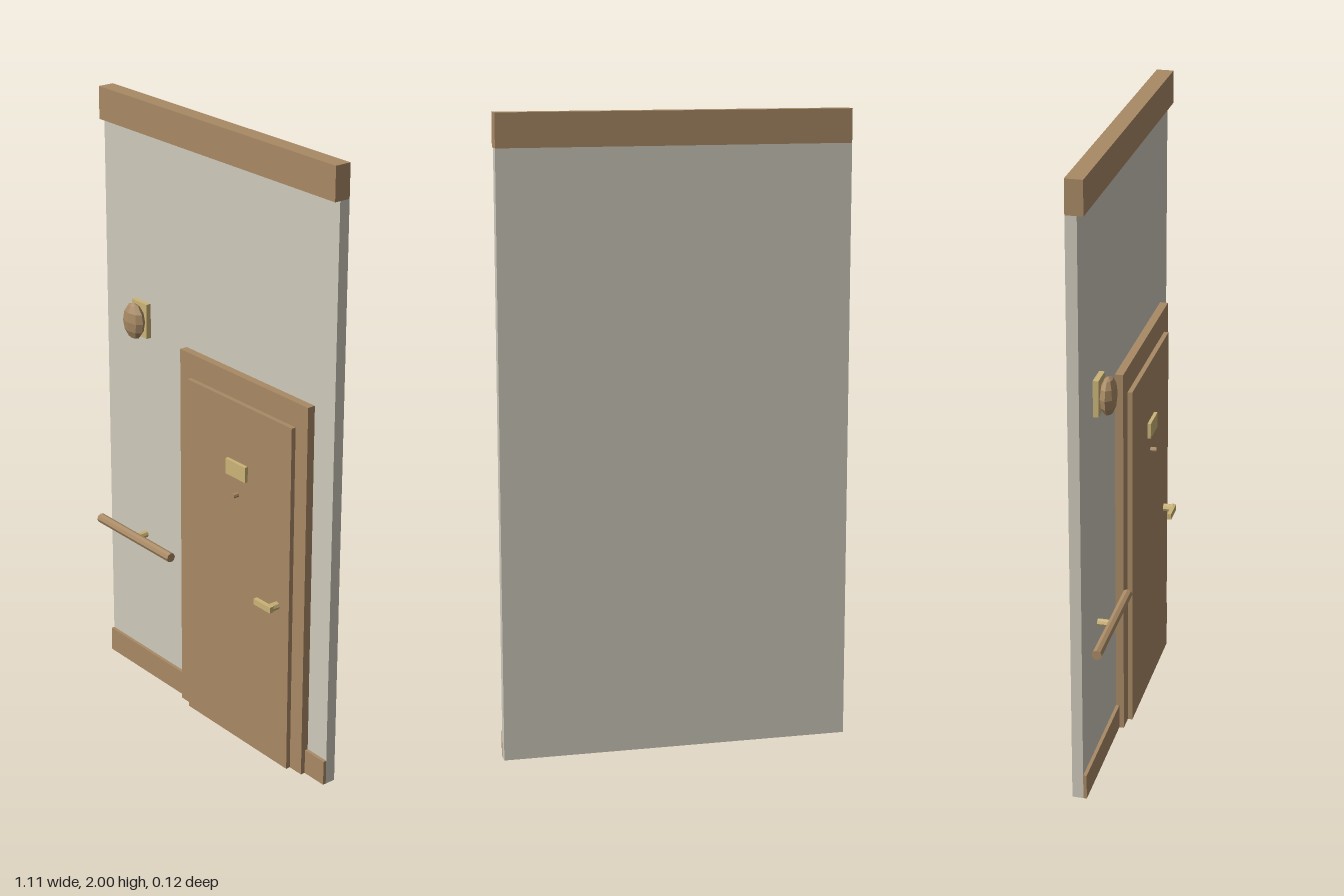
import * as THREE from 'three';

const material = (name, color) => {
  const m = new THREE.MeshStandardMaterial({ color, flatShading: true });
  m.name = name;
  return m;
};

export function createModel() {
  const model = new THREE.Group();
  model.name = 'wallWithDoor';
  const plaster = material('plaster', 0xcfcabc);
  const wood = material('wood', 0xa98a65);
  const brass = material('brass', 0xcbb478);

  const add = (name, geometry, mat, x, y, z) => {
    const mesh = new THREE.Mesh(geometry, mat);
    mesh.name = name;
    mesh.position.set(x, y, z);
    model.add(mesh);
    return mesh;
  };
  // Box given by its extents on each axis
  const box = (name, mat, x0, x1, y0, y1, z0, z1) =>
    add(name, new THREE.BoxGeometry(x1 - x0, y1 - y0, z1 - z0), mat,
      (x0 + x1) / 2, (y0 + y1) / 2, (z0 + z1) / 2);
  // Rod running along z
  const rodZ = (name, mat, r, sides, x, y, z0, z1) =>
    add(name, new THREE.CylinderGeometry(r, r, z1 - z0, sides).rotateX(Math.PI / 2),
      mat, x, y, (z0 + z1) / 2);

  // Wall with crown and baseboard
  const W = 0.555;
  box('wall', plaster, -W, W, 0, 1.895, -0.06, -0.025);
  box('crown', wood, -W, W, 1.895, 2, -0.06, -0.006);
  box('baseboard', wood, -W, W, 0, 0.083, -0.025, -0.014);

  // Door frame: two jambs and a head around the leaf
  box('leftJamb', wood, 0.413, 0.467, 0, 1.17, -0.025, 0.001);
  box('rightJamb', wood, -0.14, -0.085, 0, 1.17, -0.025, 0.001);
  box('frameHead', wood, -0.14, 0.467, 1.17, 1.25, -0.025, 0.001);
  box('doorLeaf', wood, -0.085, 0.413, 0, 1.17, -0.025, 0.016);

  // Door fittings
  box('numberPlate', brass, 0.117, 0.212, 0.924, 0.975, 0.016, 0.027);
  rodZ('peephole', wood, 0.008, 8, 0.164, 0.865, 0.016, 0.036);
  rodZ('handleStem', brass, 0.013, 8, 0.358, 0.56, 0.016, 0.05);
  box('handleLever', brass, 0.293, 0.371, 0.55, 0.57, 0.042, 0.056);

  // Handrail on a single bracket
  add('handrail', new THREE.CylinderGeometry(0.016, 0.016, 0.386, 8).rotateZ(Math.PI / 2),
    wood, -0.362, 0.517, 0.021);
  rodZ('handrailBracket', brass, 0.012, 8, -0.362, 0.517, -0.025, 0.018);

  // Wall lamp
  box('lampPlate', brass, -0.401, -0.325, 1.225, 1.34, -0.025, -0.008);
  add('lampShade', new THREE.SphereGeometry(1, 8, 6).scale(0.048, 0.061, 0.026),
    wood, -0.363, 1.281, 0.013);

  return model;
}
